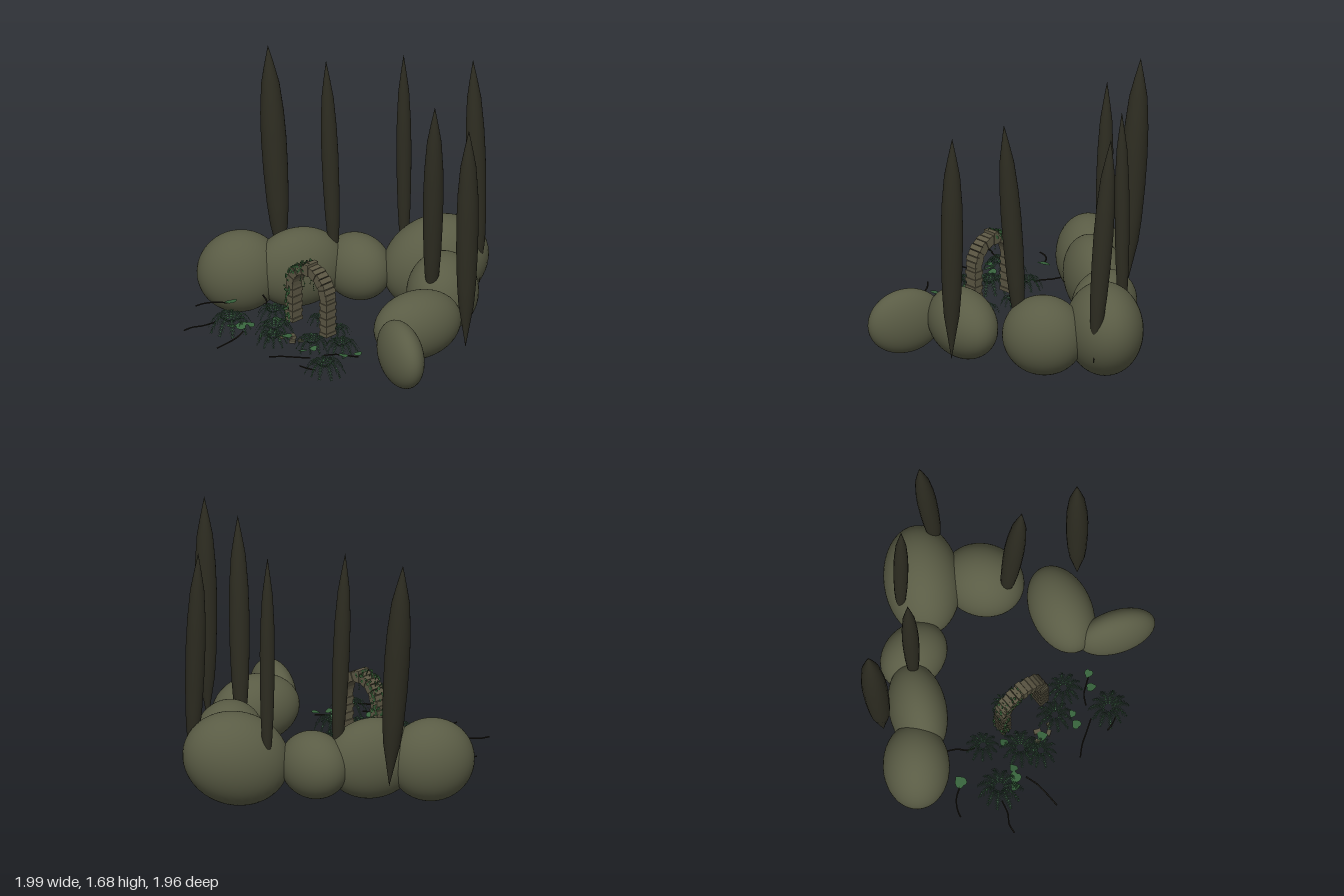
import * as THREE from 'three';
import { mergeGeometries } from 'three/addons/utils/BufferGeometryUtils.js';

const mat = (name, color, side = THREE.FrontSide) => {
  const m = new THREE.MeshStandardMaterial({ color, side });
  m.name = name;
  return m;
};

export function createModel() {
  const root = new THREE.Group();
  root.name = 'gardenRuin';
  const M = {
    bush: mat('bushOlive', 0x5a5c45),
    cypress: mat('cypressDark', 0x2d2c21),
    stone: mat('archStone', 0x5b5643),
    fern: mat('fernGreen', 0x3c6344, THREE.DoubleSide),
    leaf: mat('leafGreen', 0x37633c, THREE.DoubleSide),
    ivy: mat('ivyGreen', 0x2f5530, THREE.DoubleSide),
    root: mat('rootBrown', 0x1f1c16),
  };
  const V = (x, y, z) => new THREE.Vector3(x, y, z);
  let seed = 7;
  const rand = () => (seed = (seed * 16807) % 2147483647) / 2147483647;
  const add = (name, geo, m, parent = root) => {
    const mesh = new THREE.Mesh(geo, m);
    mesh.name = name;
    parent.add(mesh);
    return mesh;
  };

  // Ring of rounded bushes: x, y, z, long radius, height radius, short radius, turn, tilt (degrees)
  const ball = new THREE.SphereGeometry(1, 40, 28);
  [
    [-0.768, 0.283, 0.25, 0.27, 0.267, 0.208, 53.6, 0],
    [-0.53, 0.3, -0.03, 0.3, 0.26, 0.18, 63, 0],
    [-0.32, 0.275, -0.33, 0.232, 0.215, 0.187, 8, 0],
    [0.023, 0.313, -0.673, 0.345, 0.295, 0.239, 58.6, 25],
    [0.325, 0.29, -0.443, 0.26, 0.255, 0.224, -57, 0],
    [0.575, 0.31, 0.018, 0.293, 0.22, 0.192, 75, 0],
    [0.757, 0.28, 0.34, 0.25, 0.21, 0.122, -21, 0],
  ].forEach(([x, y, z, a, h, b, turn, tilt]) => {
    const m = add('bush', ball, M.bush);
    m.position.set(x, y, z);
    m.scale.set(a, h, b);
    m.rotation.set(0, THREE.MathUtils.degToRad(turn), THREE.MathUtils.degToRad(tilt));
  });

  // Spindle-shaped cypresses: bottom x, z, tip x, z, radius
  const spindle = new THREE.LatheGeometry(
    [[0.001, 0], [0.35, 0.1], [0.7, 0.2], [0.86, 0.3], [0.97, 0.44], [1, 0.58], [0.93, 0.7],
      [0.72, 0.83], [0.4, 0.91], [0.001, 1]].map(([r, y]) => new THREE.Vector2(r, y)), 20);
  [
    [-0.75, -0.095, -0.875, -0.095, 0.08],
    [-0.405, -0.22, -0.47, -0.205, 0.053],
    [-0.195, -0.615, -0.195, -0.61, 0.047],
    [0.265, -0.82, 0.158, -0.868, 0.062],
    [0.375, -0.295, 0.468, -0.237, 0.064],
    [0.835, -0.145, 0.848, -0.163, 0.07],
  ].forEach(([x, z, tx, tz, r]) => {
    const axis = V(tx - x, 1.5, tz - z);
    const m = add('cypress', spindle, M.cypress);
    m.position.set(x, 0.19, z);
    m.scale.set(r, axis.length(), r);
    m.quaternion.setFromUnitVectors(V(0, 1, 0), axis.normalize());
  });

  // Stone arch: two stacked legs joined by a half ring of blocks
  const arch = new THREE.Group();
  arch.name = 'stoneArch';
  arch.position.set(-0.02, 0, 0.363);
  root.add(arch);
  const R = 0.15, springY = 0.45, baseY = 0.2, legN = 10;
  const stone = (name, x, y, w, h, d, rot) => {
    const m = add(name, new THREE.BoxGeometry(w, h, d), M.stone, arch);
    m.position.set(x, y, 0);
    m.rotation.z = rot;
  };
  const step = (springY - baseY) / legN;
  for (const s of [-1, 1]) {
    for (let i = 0; i < legN; i++) {
      stone('legStone', s * R, baseY + (i + 0.5) * step, i % 2 ? 0.058 : 0.068, step * 0.96,
        i % 2 ? 0.08 : 0.088, (rand() - 0.5) * 0.06);
    }
  }
  const ringN = 15;
  for (let i = 0; i < ringN; i++) {
    const a = Math.PI * (i + 0.5) / ringN;
    const key = i === (ringN - 1) / 2;
    stone(key ? 'keystone' : 'archStone', Math.cos(a) * R, springY + Math.sin(a) * (R + (key ? 0.006 : 0)),
      key ? 0.078 : 0.06, 0.033, i % 2 ? 0.092 : 0.082, a);
  }

  // Ivy on the arch's right leg and crown, with hanging strands
  const disc = new THREE.CircleGeometry(1, 5);
  const ivy = [];
  const ivyLeaf = (p, rx, ry, size) => ivy.push(disc.clone().scale(size, size * 1.2, size)
    .rotateX(rx).rotateY(ry).translate(p.x, p.y, p.z));
  const legLen = springY - baseY;
  for (let i = 0; i < 190; i++) {
    const s = rand() * (legLen + R * 1.6);
    const a = Math.PI - Math.max(0, s - legLen) / R;
    const face = Math.floor(rand() * 3);
    const r = face === 2 ? R + 0.038 : R - 0.01 + rand() * 0.045;
    const z = face === 2 ? (rand() - 0.5) * 0.09 : (face ? -1 : 1) * 0.05;
    ivyLeaf(V(Math.cos(a) * r, Math.min(s, legLen) + baseY + Math.sin(a) * r, z),
      (rand() - 0.5) * 0.8, (face === 2 ? -Math.PI / 2 : 0) + (rand() - 0.5), 0.006 + rand() * 0.006);
  }
  for (const [x, top, n] of [[-0.06, 0.56, 6], [-0.03, 0.57, 8], [0.03, 0.57, 5], [0.06, 0.55, 6]]) {
    for (let i = 0; i < n; i++) {
      ivyLeaf(V(x + (rand() - 0.5) * 0.012, top - i * 0.013, 0.03), rand() - 0.5, rand() - 0.5, 0.005);
    }
  }
  add('ivy', mergeGeometries(ivy), M.ivy, arch);

  // Fern of unit radius: arching fronds lined with pointed leaflets
  const fronds = [];
  const FRONDS = 11, PAIRS = 12;
  const spine = (t) => V(0.17 + 0.83 * t, 0.38 * Math.sin(Math.PI * t) - 0.3 * t * t, 0);
  for (let f = 0; f < FRONDS; f++) {
    const pos = [];
    const tri = (...pts) => pts.forEach((p) => pos.push(p.x, p.y, p.z));
    for (let i = 0; i < PAIRS; i++) {
      const t = i / PAIRS, a = spine(t), b = spine(t + 0.8 / PAIRS);
      const len = 0.2 * Math.sin(Math.PI * (0.2 + 0.74 * t));
      const end = spine(Math.min(1, t + 0.13));
      tri(a, V(end.x, end.y - len * 0.35, len), b);
      tri(b, V(end.x, end.y - len * 0.35, -len), a);
      const w = V(0, 0, 0.012), c = spine(t + 1 / PAIRS);
      tri(a.clone().sub(w), a.clone().add(w), c);
    }
    const g = new THREE.BufferGeometry();
    g.setAttribute('position', new THREE.Float32BufferAttribute(pos, 3));
    const size = 0.88 + rand() * 0.18;
    g.scale(size, size, size).rotateY((f + (rand() - 0.5) * 0.3) * Math.PI * 2 / FRONDS);
    g.computeVertexNormals();
    fronds.push(g);
  }
  const fernGeo = mergeGeometries(fronds);
  [
    [-0.34, 0.38, 0.105], [-0.07, 0.24, 0.075], [0.12, 0.255, 0.08], [0.285, 0.4, 0.115],
    [-0.17, 0.54, 0.13], [0.135, 0.505, 0.115], [-0.08, 0.63, 0.105], [-0.435, 0.655, 0.145],
    [0.42, 0.675, 0.13],
  ].forEach(([x, z, r], i) => {
    const m = add('fern', fernGeo, M.fern);
    m.position.set(x, 0.195, z);
    m.scale.set(r, r, r);
    m.rotation.y = i * 1.3;
  });

  // Broad ground leaves
  const leafShape = new THREE.Shape();
  leafShape.moveTo(0, -0.7);
  leafShape.bezierCurveTo(0.6, -1.15, 1.2, -0.3, 0.75, 0.35);
  leafShape.quadraticCurveTo(0.4, 0.8, 0, 1.1);
  leafShape.quadraticCurveTo(-0.4, 0.8, -0.75, 0.35);
  leafShape.bezierCurveTo(-1.2, -0.3, -0.6, -1.15, 0, -0.7);
  const leafGeo = new THREE.ShapeGeometry(leafShape, 6).rotateX(-Math.PI / 2);
  [
    [-0.605, 0.485, 0.042], [-0.32, 0.675, 0.04], [-0.36, 0.72, 0.03], [-0.29, 0.62, 0.03],
    [0.465, 0.425, 0.029], [0.42, 0.505, 0.033], [0.195, 0.64, 0.033], [0.22, 0.57, 0.025],
    [-0.02, 0.565, 0.035], [-0.23, 0.45, 0.03],
  ].forEach(([x, z, r], i) => {
    const m = add('groundLeaf', leafGeo, M.leaf);
    m.position.set(x, 0.21, z);
    m.scale.set(r, r, r);
    m.rotation.set(0.25 * Math.sin(i * 2), i * 2.1, 0.25 * Math.cos(i));
  });

  // Thin roots creeping outward, as x, z points
  [
    [[-0.62, 0.5], [-0.69, 0.55], [-0.73, 0.61], [-0.745, 0.66]],
    [[-0.48, 0.74], [-0.505, 0.83], [-0.54, 0.885], [-0.55, 0.95]],
    [[-0.265, 0.71], [-0.24, 0.79], [-0.233, 0.86], [-0.23, 0.975]],
    [[0.29, 0.665], [0.215, 0.715], [0.145, 0.76], [0.08, 0.82]],
    [[0.32, 0.58], [0.36, 0.51], [0.41, 0.47], [0.47, 0.425]],
    [[-0.54, 0.27], [-0.48, 0.3], [-0.44, 0.34], [-0.39, 0.36]],
    [[0.32, 0.79], [0.37, 0.775], [0.42, 0.75]],
  ].forEach((pts) => {
    const curve = new THREE.CatmullRomCurve3(pts.map(([x, z], i) => V(x, 0.2 - i * 0.004, z)));
    add('root', new THREE.TubeGeometry(curve, 16, 0.005, 6), M.root);
  });

  // Fallen stones in front of the arch
  for (const [x, z, s] of [[-0.02, 0.52, 0.03], [0.03, 0.57, 0.026], [-0.06, 0.57, 0.022], [0.06, 0.53, 0.02]]) {
    const m = add('fallenStone', new THREE.BoxGeometry(s * 1.5, s * 0.7, s), M.stone);
    m.position.set(x, 0.19, z);
    m.rotation.y = x * 20;
  }
  return root;
}
